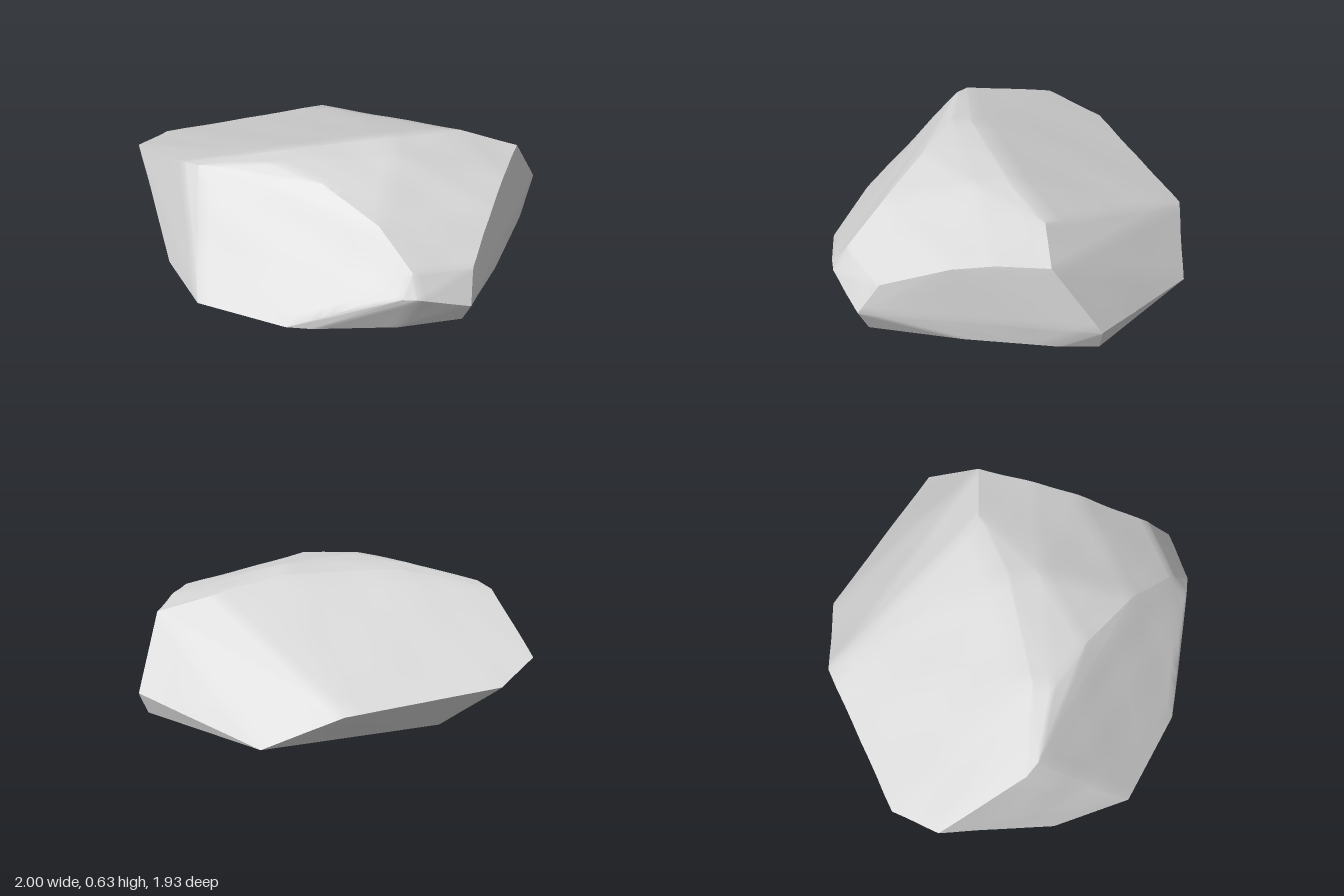
import * as THREE from 'three';
import { toCreasedNormals } from 'three/addons/utils/BufferGeometryUtils.js';
import { ConvexGeometry } from 'three/addons/geometries/ConvexGeometry.js';

// Corners of the boulder, grouped by the ring they lie on
const base = [
  [-0.99, 0, -0.02], [-0.94, 0, 0.39], [-0.55, 0, 0.72], [-0.42, 0, 0.77], [0.02, 0, 0.86], [0.36, 0, 0.86],
  [0.64, 0, 0.44], [0.88, 0, 0], [0.95, 0, -0.2], [0.48, 0, -0.84], [-0.5, 0, -0.66],
];
const waist = [
  [-1, 0.33, -0.64], [-0.25, 0.13, 0.83], [0.02, 0.22, 0.94], [0.1, 0.22, 0.965],
  [0.39, 0.12, 0.93], [1, 0.11, -0.2], [0.06, 0.2, -0.97], [-0.8, 0.255, -0.84],
];
const shoulder = [
  [-0.88, 0.53, -0.14], [0.09, 0.34, 0.88], [0.43, 0.29, 0.83], [0.61, 0.42, 0.5],
  [0.72, 0.46, 0.29], [0.86, 0.47, 0.03], [-0.03, 0.495, 0.64],
];
const crown = [
  [-0.82, 0.55, -0.06], [-0.47, 0.62, 0.1], [-0.26, 0.6, 0.33], [-0.42, 0.62, 0],
  [0.2, 0.625, 0.02], [0.15, 0.62, 0.2], [0.57, 0.565, -0.04],
];

// Flat underside as x, z points; its broken edge leaves the left front corner open
const underside = [
  [-0.2, 0.815], [0.02, 0.86], [0.36, 0.86], [0.64, 0.44], [0.88, 0], [0.95, -0.2], [0.48, -0.84],
  [-0.5, -0.66], [-0.99, -0.02], [-0.78, 0.14], [-0.52, -0.07], [0.11, 0.1],
];

// Splits every triangle in four
function subdivide(tris) {
  const mid = (p, q) => p.clone().add(q).multiplyScalar(0.5);
  return tris.flatMap(([a, b, c]) => {
    const ab = mid(a, b), bc = mid(b, c), ca = mid(c, a);
    return [[a, ab, ca], [ab, b, bc], [ca, bc, c], [ab, bc, ca]];
  });
}

// Gentle unevenness of the stone, fading out at the ground
function weather(p) {
  const n = Math.sin(9 * p.x + 5 * p.z) * Math.sin(8 * p.y - 7 * p.z + 1) + 0.5 * Math.sin(17 * p.x - 13 * p.z + 11 * p.y);
  const amount = 0.003 * n * Math.min(1, p.y * 8);
  return p.clone().addScaledVector(p.clone().normalize(), amount);
}

// Hull of the corners, left open underneath
function shellGeometry() {
  const corners = [...base, ...waist, ...shoulder, ...crown].map((p) => new THREE.Vector3(...p));
  const pos = new ConvexGeometry(corners).getAttribute('position');
  let tris = [];
  for (let i = 0; i < pos.count; i += 3) {
    const tri = [0, 1, 2].map((k) => new THREE.Vector3().fromBufferAttribute(pos, i + k));
    if (tri.some((p) => p.y > 1e-4)) tris.push(tri);
  }
  for (let i = 0; i < 3; i++) tris = subdivide(tris);
  const shell = new THREE.BufferGeometry().setFromPoints(tris.flat().map(weather));
  return toCreasedNormals(shell, 0.6);
}

export function createModel() {
  const stone = new THREE.MeshStandardMaterial({ color: 0xd9d9d9, side: THREE.DoubleSide });
  stone.name = 'stone grey';

  const boulder = new THREE.Mesh(shellGeometry(), stone);
  boulder.name = 'boulder';

  const shape = new THREE.Shape(underside.map(([x, z]) => new THREE.Vector2(x, z)));
  const floor = new THREE.Mesh(new THREE.ShapeGeometry(shape).rotateX(Math.PI / 2), stone);
  floor.name = 'underside';

  const group = new THREE.Group();
  group.name = 'rock';
  group.add(boulder, floor);
  return group;
}
